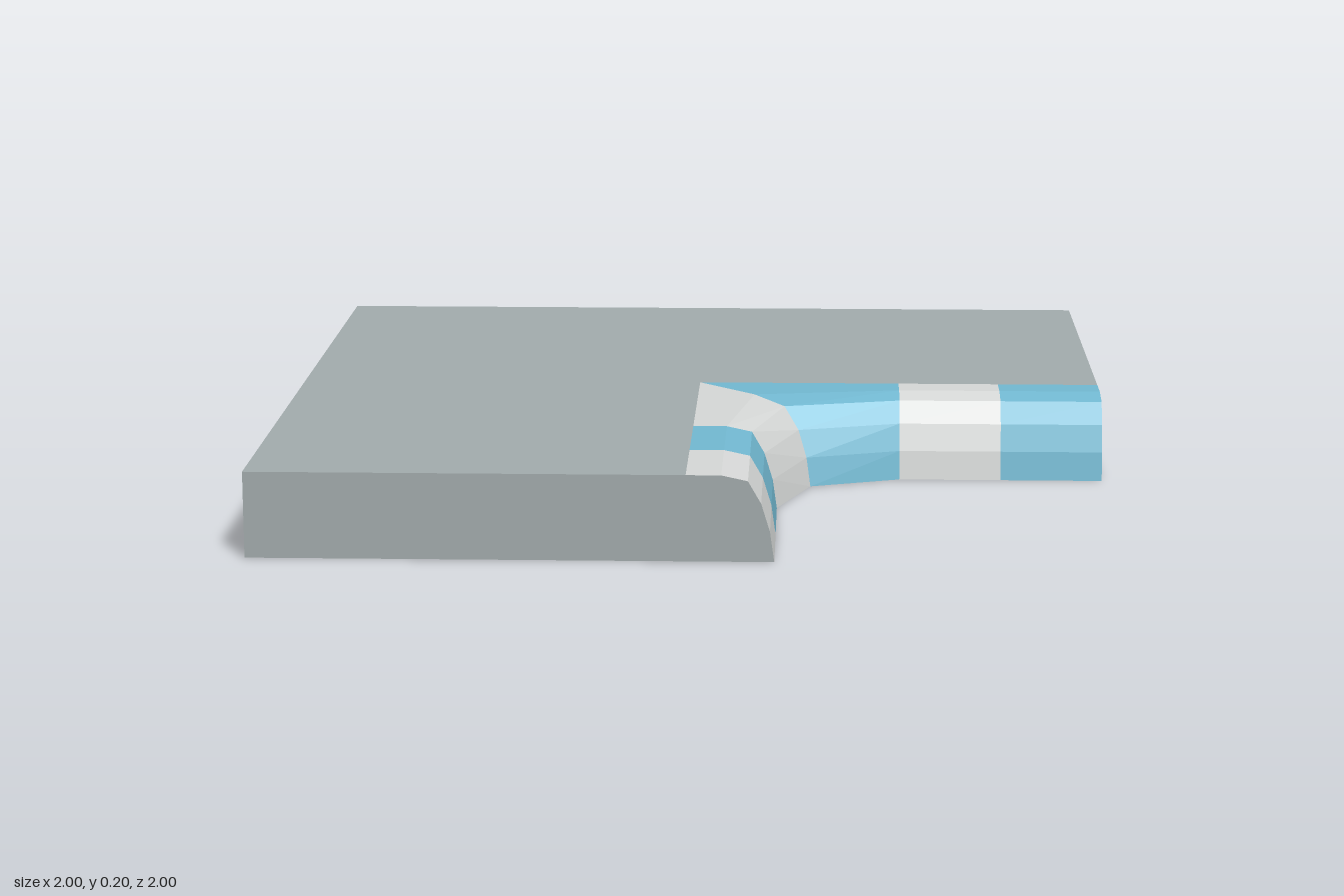
import * as THREE from 'three';

const H = 0.2;
// Curb section: [outward distance, height, outward distance at the corner]
const PROFILE = [
  [0, H, 0], [0.08, H, 0.14], [0.14, 0.187, 0.215],
  [0.17, 0.135, 0.25], [0.19, 0.07, 0.27], [0.2, 0, 0.28],
];

function material(name, color, extra = {}) {
  const m = new THREE.MeshStandardMaterial({ color, ...extra });
  m.name = name;
  return m;
}

// Section across the arm that runs along z; 'corner' gives the mitred section
const straight = (z) => PROFILE.map(([d, y]) => [d, y, z]);
const corner = () => PROFILE.map(([, y, c]) => [c, y, c]);

// Skin between two sections; mirrored swaps x and z for the other arm
function skin(a, b, mirrored) {
  const pos = [];
  const put = (p) => pos.push(mirrored ? p[2] : p[0], p[1], mirrored ? p[0] : p[2]);
  for (let i = 0; i < a.length - 1; i++) {
    const tris = [a[i], b[i], a[i + 1], a[i + 1], b[i], b[i + 1]];
    (mirrored ? tris.reverse() : tris).forEach(put);
  }
  const g = new THREE.BufferGeometry();
  g.setAttribute('position', new THREE.Float32BufferAttribute(pos, 3));
  g.computeVertexNormals();
  return g;
}

function shapeFrom(points) {
  return new THREE.Shape(points.map(([x, y]) => new THREE.Vector2(x, y)));
}

export function createModel() {
  const group = new THREE.Group();
  const grey = material('pavement grey', 0xa4adae);
  const white = material('curb white', 0xd8dad9);
  const blue = material('curb blue', 0x73bad3);
  const add = (name, geometry, mat) => {
    const mesh = new THREE.Mesh(geometry, mat);
    mesh.name = name;
    group.add(mesh);
    return mesh;
  };

  // L-shaped pavement slab (shape y becomes -z)
  const slab = new THREE.ExtrudeGeometry(
    shapeFrom([[-1, -1], [0, -1], [0, 0], [1, 0], [1, 1], [-1, 1]]),
    { depth: H, bevelEnabled: false });
  slab.rotateX(-Math.PI / 2);
  add('pavementSlab', slab, grey);

  // Underside of the curb
  const under = new THREE.ShapeGeometry(
    shapeFrom([[0, 0], [1, 0], [1, 0.2], [0.5, 0.2], [0.28, 0.28], [0.2, 0.5], [0.2, 1], [0, 1]]));
  under.rotateX(Math.PI / 2);
  add('curbUnderside', under, grey);

  // Curb blocks, from the arm's end to the mitred corner, on both arms
  const sections = [straight(1), straight(0.75), straight(0.5), corner()];
  for (const mirrored of [false, true]) {
    const side = mirrored ? 'side' : 'front';
    for (let i = 0; i < 3; i++) {
      const isBlue = (i % 2 === 1) !== mirrored;
      // sections run from far end inwards, so the nearer one comes first
      add(`${side}CurbBlock${i + 1}`, skin(sections[i + 1], sections[i], mirrored),
        isBlue ? blue : white);
    }
    // Flat end of the arm
    const cap = new THREE.ShapeGeometry(
      shapeFrom([[0, 0], ...PROFILE.map(([d, y]) => [d, y])]));
    if (mirrored) {
      cap.scale(-1, 1, 1);
      const index = cap.index.array;
      for (let k = 0; k < index.length; k += 3) {
        [index[k], index[k + 1]] = [index[k + 1], index[k]];
      }
      cap.rotateY(Math.PI / 2);
      cap.translate(1, 0, 0);
      cap.computeVertexNormals();
    } else {
      cap.translate(0, 0, 1);
    }
    add(`${side}CurbEnd`, cap, grey);
  }
  return group;
}
